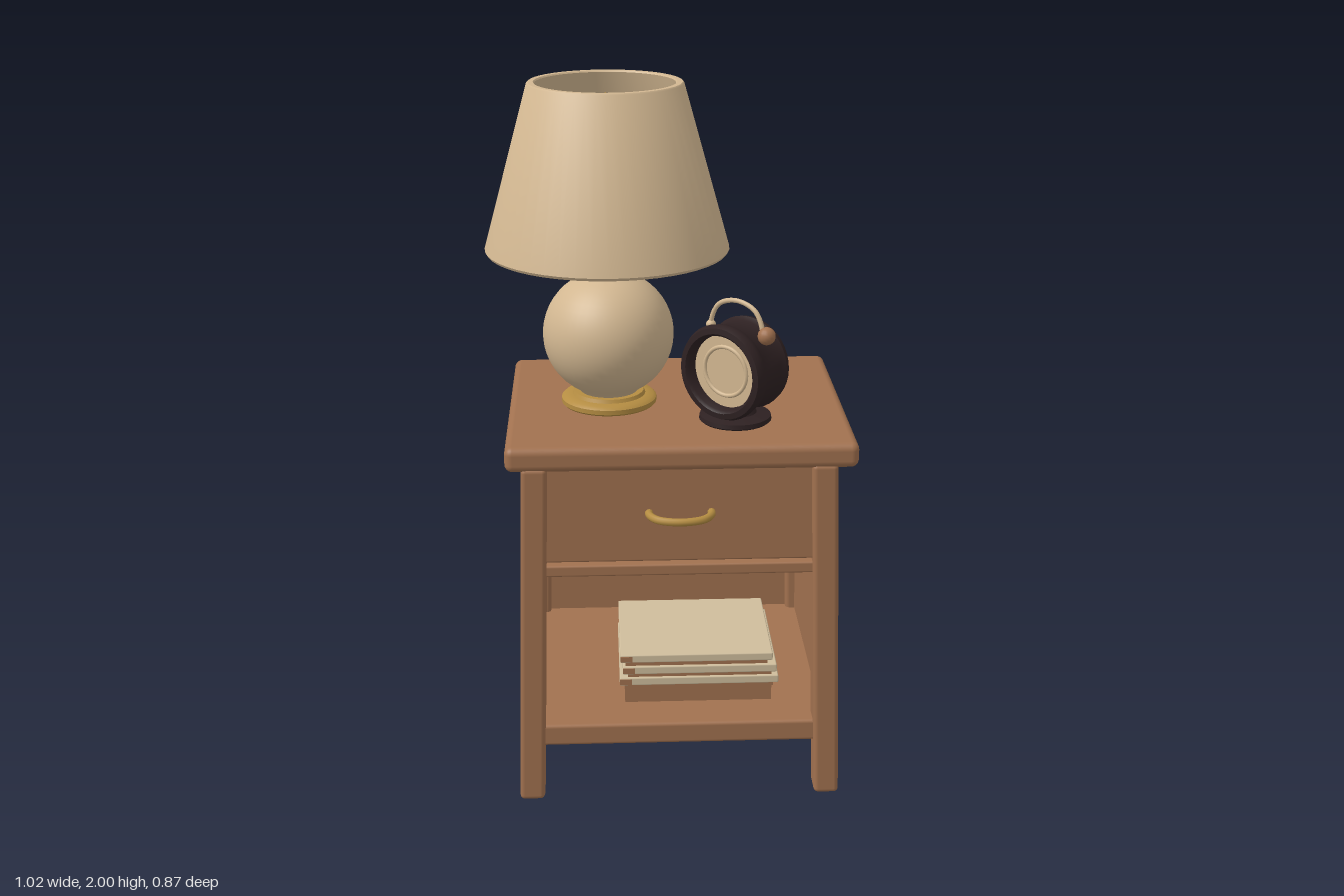
import * as THREE from 'three';
import { toCreasedNormals } from 'three/addons/utils/BufferGeometryUtils.js';
import { RoundedBoxGeometry } from 'three/addons/geometries/RoundedBoxGeometry.js';

const material = (name, color) => {
  const m = new THREE.MeshStandardMaterial({ color });
  m.name = name;
  return m;
};

export function createModel() {
  const wood = material('wood', 0xa1714f);
  const cream = material('cream', 0xd2b791);
  const brass = material('brass', 0xb58d42);
  const dark = material('dark metal', 0x2e2122);
  const paper = material('paper', 0xcfbd9c);

  const model = new THREE.Group();
  model.name = 'nightstand';
  const CX = 0.022, CZ = -0.015, TOP = 1.02;

  const add = (parent, name, geo, mat, x = 0, y = 0, z = 0) => {
    const mesh = new THREE.Mesh(geo, mat);
    mesh.name = name;
    mesh.position.set(x, y, z);
    parent.add(mesh);
    return mesh;
  };
  const group = (name, x, y, z) => {
    const g = new THREE.Group();
    g.name = name;
    g.position.set(x, y, z);
    model.add(g);
    return g;
  };
  const lathe = (pts, segments = 40) => toCreasedNormals(
    new THREE.LatheGeometry(pts.map(p => new THREE.Vector2(...p)), segments), 0.7);

  // Box given by its limits about the cabinet axis; vertices spread outwards towards the floor
  const splayed = (name, x0, x1, y0, y1, z0, z1, r = 0.006) => {
    const geo = new RoundedBoxGeometry(x1 - x0, y1 - y0, z1 - z0, 2, r);
    geo.translate((x0 + x1) / 2, (y0 + y1) / 2, (z0 + z1) / 2);
    const p = geo.attributes.position;
    for (let i = 0; i < p.count; i++) {
      const s = 0.03 * (1 - p.getY(i) / TOP);
      p.setX(i, p.getX(i) + Math.sign(p.getX(i)) * s);
      p.setZ(i, p.getZ(i) + Math.sign(p.getZ(i)) * s);
    }
    return add(model, name, geo, wood, CX, 0, CZ);
  };

  // Table top and legs
  add(model, 'tableTop', new RoundedBoxGeometry(0.965, 0.072, 0.79, 4, 0.022), wood, 0.028, 1.044, -0.02);
  for (const sx of [-1, 1]) for (const sz of [-1, 1]) {
    const xs = [sx * 0.433, sx * 0.361].sort((a, b) => a - b);
    const zs = [sz * 0.387, sz * 0.304].sort((a, b) => a - b);
    splayed('leg', xs[0], xs[1], 0, TOP, zs[0], zs[1], 0.014);
  }

  // Cabinet panels, drawer and rails
  splayed('leftPanel', 0.39, 0.418, 0.165, TOP, -0.33, 0.33);
  splayed('rightPanel', -0.418, -0.39, 0.165, TOP, -0.33, 0.33);
  splayed('backPanel', -0.38, 0.38, 0.165, TOP, -0.355, -0.33);
  splayed('shelf', -0.4, 0.4, 0.16, 0.23, -0.35, 0.35);
  splayed('drawer', -0.395, 0.395, 0.735, TOP, -0.34, 0.365);
  splayed('drawerRail', -0.375, 0.375, 0.695, 0.728, -0.34, 0.373);
  splayed('backMiddleRail', -0.375, 0.375, 0.7, 0.735, -0.375, -0.34, 0.012);
  splayed('backLowerRail', -0.375, 0.375, 0.165, 0.215, -0.375, -0.34, 0.012);
  splayed('frontLowerRail', -0.375, 0.375, 0.165, 0.23, 0.33, 0.368, 0.01);

  // Curved drawer pull
  const pull = new THREE.CatmullRomCurve3([
    [-0.085, 0.34], [-0.085, 0.372], [-0.062, 0.407], [0, 0.424], [0.062, 0.407], [0.085, 0.372], [0.085, 0.34],
  ].map(([x, z]) => new THREE.Vector3(x, 0, z)));
  add(model, 'drawerPull', new THREE.TubeGeometry(pull, 36, 0.011, 10), brass, 0.023, 0.88, 0);

  // Stack of books
  const books = group('books', 0.083, 0, 0.08);
  add(books, 'bookTray', new THREE.BoxGeometry(0.43, 0.062, 0.34), wood, 0, 0.26, 0);
  [[0.302, 0.465, 0.002], [0.338, 0.45, 0.004], [0.376, 0.445, -0.006]].forEach(([y, w, x]) => {
    add(books, 'book', new RoundedBoxGeometry(w, 0.025, 0.36, 1, 0.004), paper, x, y, 0);
    add(books, 'bookSpine', new THREE.BoxGeometry(0.035, 0.017, 0.364), wood, x - w / 2 + 0.018, y, 0);
    add(books, 'bookCover', new THREE.BoxGeometry(w - 0.03, 0.016, 0.345), wood, x, y - 0.017, 0);
  });

  // Table lamp
  const lamp = group('lamp', -0.166, 0, -0.006);
  add(lamp, 'lampFoot', lathe([[0, 1.078], [0.13, 1.078], [0.137, 1.085], [0.137, 1.098],
    [0.128, 1.106], [0.105, 1.108], [0.1, 1.118], [0, 1.118]]), brass);
  const body = [[0, 1.108], [0.075, 1.11]];
  for (let i = 1; i < 20; i++) {
    const a = -1.17 + i * 0.125;
    body.push([0.187 * Math.cos(a), 1.287 + 0.182 * Math.sin(a)]);
  }
  body.push([0.052, 1.464], [0, 1.464]);
  add(lamp, 'lampBody', lathe(body, 48), cream);
  add(lamp, 'lampNeck', lathe([[0, 1.455], [0.058, 1.455], [0.063, 1.463], [0.058, 1.471], [0.028, 1.473],
    [0.024, 1.48], [0.04, 1.483], [0.041, 1.491], [0.036, 1.496], [0.017, 1.499], [0.016, 1.545],
    [0.028, 1.555], [0.037, 1.575], [0.03, 1.597], [0.018, 1.61], [0.018, 1.625], [0.027, 1.632],
    [0.027, 1.69], [0.014, 1.7], [0.013, 1.96], [0, 1.97]], 24), brass);
  add(lamp, 'lampShade', lathe([[0.322, 1.536], [0.338, 1.532], [0.343, 1.54], [0.215, 1.996], [0.211, 2],
    [0.196, 2], [0.193, 1.996], [0.32, 1.54], [0.322, 1.536]], 48), cream);

  // Round bedside clock turned towards the front
  const clock = group('clock', 0.187, 1.235, 0.162);
  clock.rotation.y = -0.69;
  add(clock, 'clockBase', lathe([[0, -0.155], [0.096, -0.155], [0.102, -0.15], [0.1, -0.138],
    [0.06, -0.13], [0.045, -0.1], [0, -0.1]], 32), dark);
  const caseGeo = lathe([[0, -0.078], [0.115, -0.078], [0.13, -0.07], [0.133, -0.055], [0.124, -0.04],
    [0.122, 0.03], [0.133, 0.045], [0.137, 0.066], [0.13, 0.082], [0.114, 0.084], [0.107, 0.076],
    [0.104, 0.045], [0, 0.045]]).rotateX(Math.PI / 2);
  add(clock, 'clockCase', caseGeo, dark);
  add(clock, 'clockFace', new THREE.CircleGeometry(0.104, 40), cream, 0, 0, 0.049);
  add(clock, 'clockDialRing', new THREE.TorusGeometry(0.07, 0.006, 8, 40), cream, 0, 0, 0.051);

  // Clock carrying handle and its side knobs
  const bow = new THREE.CatmullRomCurve3([[-0.085, 0.09], [-0.085, 0.125], [-0.06, 0.172], [0, 0.191],
    [0.06, 0.172], [0.085, 0.125], [0.085, 0.09]].map(([x, y]) => new THREE.Vector3(x, y, 0)));
  add(clock, 'clockHandle', new THREE.TubeGeometry(bow, 36, 0.007, 8), cream);
  add(clock, 'clockLeftKnob', new THREE.SphereGeometry(0.025, 16, 12), wood, 0.1, 0.108, 0);
  add(clock, 'clockRightKnob', new THREE.SphereGeometry(0.014, 16, 12), cream, -0.087, 0.108, 0);

  return model;
}
